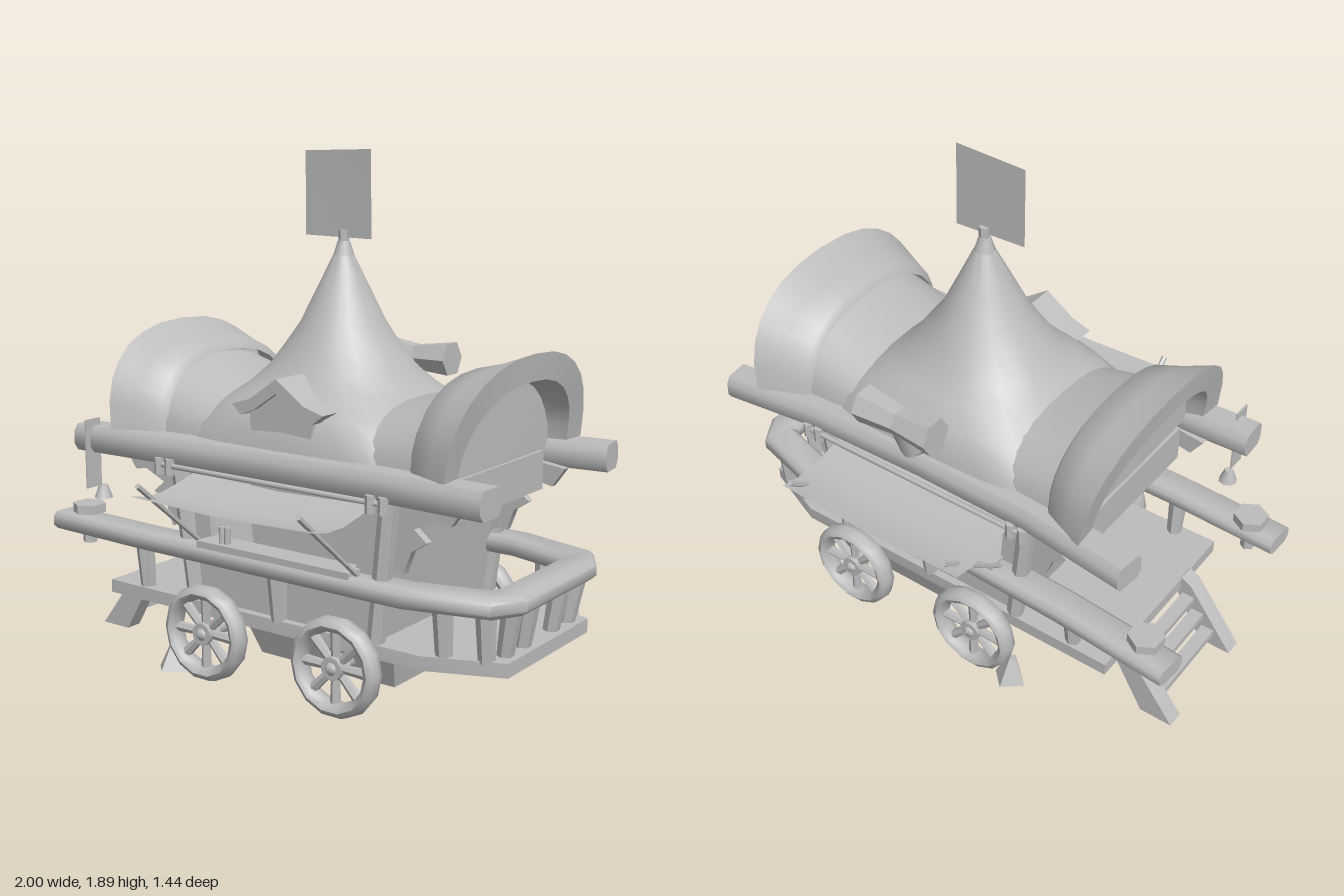
import * as THREE from 'three';
import { toCreasedNormals } from 'three/addons/utils/BufferGeometryUtils.js';

const V = (x, y, z) => new THREE.Vector3(x, y, z);
const outline = pts => pts.map(p => new THREE.Vector2(...p));
const CX = 0.08; // middle of the cabin

export function createModel() {
  const grey = new THREE.MeshStandardMaterial({ color: 0xbcbcbc, side: THREE.DoubleSide });
  grey.name = 'plain grey';
  const model = new THREE.Group();
  model.name = 'wagon';

  const add = (name, geo, parent = model) => {
    const m = new THREE.Mesh(toCreasedNormals(geo, 0.9), grey);
    m.name = name;
    parent.add(m);
  };
  const box = (name, x0, x1, y0, y1, z0, z1, parent) => add(name,
    new THREE.BoxGeometry(x1 - x0, y1 - y0, z1 - z0).translate((x0 + x1) / 2, (y0 + y1) / 2, (z0 + z1) / 2), parent);
  const slab = (name, shape, depth, z) => add(name,
    new THREE.ExtrudeGeometry(shape, { depth, bevelEnabled: false }).translate(0, 0, z));
  // tapered rod from a to b
  const rod = (name, a, b, ra, rb = ra, n = 8, parent = model) => {
    const d = b.clone().sub(a);
    const g = new THREE.CylinderGeometry(rb, ra, d.length(), n);
    g.applyQuaternion(new THREE.Quaternion().setFromUnitVectors(V(0, 1, 0), d.normalize()));
    const c = a.clone().add(b).multiplyScalar(0.5);
    add(name, g.translate(c.x, c.y, c.z), parent);
  };
  // skin over cross-sections with equal point counts
  const loft = (rows, ring, caps) => {
    const n = rows[0].length, pos = [], idx = [];
    rows.forEach(r => r.forEach(p => pos.push(p.x, p.y, p.z)));
    for (let i = 0; i < rows.length - 1; i++)
      for (let j = 0; j < (ring ? n : n - 1); j++) {
        const a = i * n + j, b = i * n + (j + 1) % n;
        idx.push(a, b, a + n, b, b + n, a + n);
      }
    if (caps) for (const [s, flip] of [[0, 1], [(rows.length - 1) * n, 0]])
      for (let j = 1; j < n - 1; j++) idx.push(s, s + j + flip, s + j + 1 - flip);
    const g = new THREE.BufferGeometry();
    g.setAttribute('position', new THREE.Float32BufferAttribute(pos, 3));
    g.setIndex(idx);
    g.computeVertexNormals();
    return g;
  };
  // chamfered beam swept along a level path of [x, z] points
  const beam = (name, path, y, w, h) => {
    const sec = [[-1, -.5], [-1, .5], [-.7, 1], [.7, 1], [1, .5], [1, -.5], [.7, -1], [-.7, -1]];
    const rows = path.map(([x, z], i) => {
      const p = path[Math.max(i - 1, 0)], q = path[Math.min(i + 1, path.length - 1)];
      const l = Math.hypot(q[0] - p[0], q[1] - p[1]);
      const nx = (q[1] - p[1]) / l, nz = -(q[0] - p[0]) / l;
      return sec.map(([u, v]) => V(x + nx * u * w / 2, y + v * h / 2, z + nz * u * w / 2));
    });
    add(name, loft(rows, true, true));
  };

  // deck with chamfered front corners
  const deckShape = new THREE.Shape(outline([[-.72, -.39], [.68, -.39], [.95, -.28], [.95, .28], [.68, .39], [-.72, .39]]));
  add('deck', new THREE.ExtrudeGeometry(deckShape, { depth: .05, bevelEnabled: false }).rotateX(Math.PI / 2).translate(0, .267, 0));
  // open tapered frame below the deck
  const frame = [[.22, -.04, .58, .39], [.12, -.01, .56, .355], [.12, .07, .48, .28], [.22, .07, .48, .28]];
  add('underFrame', loft(frame.map(([y, a, b, z]) => [V(a, y, z), V(b, y, z), V(b, y, -z), V(a, y, -z)]), true));

  // handrail, open at the steps, with posts
  beam('handrail', [[-1, .35], [-.55, .37], [0, .375], [.62, .375], [.9, .3], [.93, .24], [.93, -.24], [.9, -.3],
    [.62, -.375], [0, -.375], [-.55, -.395], [-1, -.43]], .46, .13, .07);
  for (const s of [-1, 1]) {
    for (const [x, z] of [[-.56, .355], [.08, .37], [.74, .335], [.875, .29]])
      rod('railPost', V(x, .26, z * s), V(x, .44, z * s * 1.04), .029, .036, 6);
    for (const z of [.1, .215]) rod('railPost', V(.9, .26, z * s), V(.93, .44, z * s * 1.05), .029, .036, 6);
    // hexagonal lamp plates on the shafts
    const z = s > 0 ? .34 : -.4;
    rod('lampPlate', V(-.88, .5, z), V(-.88, .535, z), .065, .065, 6);
    rod('lampBolt', V(-.88, .38, z), V(-.88, .53, z), .028, .028, 6);
    // prop feet
    rod('propFoot', V(-.35, .01, s * .455), V(-.35, .11, s * .44), .065, .02, 4);
  }

  // wheels and axles
  for (const x of [-.185, .39]) {
    rod('axle', V(x, .185, -.45), V(x, .185, .45), .025);
    for (const s of [-1, 1]) {
      const w = new THREE.Group();
      w.name = 'wheel';
      w.position.set(x, .185, s * .458);
      add('rim', new THREE.TorusGeometry(.152, .027, 8, 14).scale(1, 1, 1.45), w);
      for (let i = 0; i < 8; i++) {
        const a = i * Math.PI / 4;
        rod('spoke', V(0, 0, 0), V(Math.cos(a) * .145, Math.sin(a) * .145, 0), .014, .02, 6, w);
      }
      rod('hub', V(0, 0, -.028), V(0, 0, .028), .042, .042, 10, w);
      add('hubCap', new THREE.SphereGeometry(.025, 10, 6).translate(0, 0, s * .018), w);
      model.add(w);
    }
  }

  // steps at the rear
  const stepShape = new THREE.Shape(outline([[-.95, 0], [-.82, 0], [-.68, .24], [-.72, .27], [-.76, .25]]));
  for (const z of [.175, -.255]) slab('stepSide', stepShape, .065, z - .0325);
  for (const [x, y] of [[-.85, .065], [-.8, .125], [-.755, .185]])
    box('stepTread', x - .026, x + .026, y - .013, y + .013, -.25, .17);

  // cabin walls with wide hatch openings
  const wall = new THREE.Shape(outline([[-.31, .26], [.48, .26], [.57, .86], [-.4, .86]]));
  wall.holes.push(new THREE.Path(outline([[-.24, .5], [.4, .5], [.46, .76], [-.26, .76]])));
  for (const s of [-1, 1]) {
    slab('sideWall', wall, .03, s * .345 - .015);
    box('counter', -.25, .42, .485, .51, s > 0 ? .33 : -.43, s > 0 ? .43 : -.33);
    // corner posts, hanging rod and its brackets
    for (const [x, t] of [[-.31, -.375], [.49, .55]]) {
      rod('cornerPost', V(x, .27, s * .365), V(t, .8, s * .375), .032, .036, 6);
      for (const d of [-.025, .025]) rod('rodBracket', V(t + d, .74, s * .455), V(t + d, .8, s * .455), .018, .018, 6);
    }
    rod('awningRod', V(-.4, .775, s * .455), V(.57, .775, s * .455), .01);
    // sagging awning with struts
    const prof = [[.37, .74], [.45, .72], [.54, .703], [.63, .703], [.705, .72]];
    add('awning', loft(prof.map(([z, y]) => [V(-.31, y, s * z), V(.085, y - .012, s * z), V(.48, y, s * z)])));
    for (const x of [-.26, .43]) rod('awningStrut', V(x, .49, s * .385), V(x, .765, s * .715), .009, .011, 6);
    // end walls, and scalloped brackets below the eaves
    const [x0, x1] = s > 0 ? [.49, .57] : [-.31, -.4];
    add('endWall', loft([[V(x0, .26, -.345), V(x0, .26, .345)], [V(x1, .88, -.345), V(x1, .88, .345)]]));
    const bracket = new THREE.Shape(outline([[.45, .5], [.5, .53], [.53, .52], [.56, .6], [.62, .64], [.57, .68], [.66, .72],
      [.71, .71], [.76, .78], [.45, .82]].map(([x, y]) => [CX + s * (x - .02), y])));
    for (const z of [-.34, .34]) slab('eaveBracket', bracket, .03, z - .015);
  }
  box('innerWall', -.34, .5, .27, .86, -.01, .01);
  for (const x of [-.155, -.13]) rod('cup', V(x, .51, .4), V(x, .57, .4), .011);

  // eave beams
  for (const [s, z] of [[1, .405], [-1, -.44]])
    beam('eaveBeam', [[-.82, z], [-.4, s * .39], [.08, s * .38], [.55, s * .39], [.945, z]], .823, .125, .1);

  // roof: square tent sweeping up to a spire
  const roof = new THREE.Group();
  roof.name = 'roof';
  roof.position.z = -.012;
  model.add(roof);
  const pw = (v, e) => Math.sign(v) * Math.abs(v) ** e;
  const tent = [[.84, .54, .4, .45], [.92, .49, .39, .5], [1, .40, .355, .6], [1.06, .325, .3, .75], [1.12, .27, .25, .9],
    [1.2, .215, .205, 1], [1.28, .155, .16, 1], [1.4, .096, .1, 1], [1.52, .038, .038, 1]];
  add('spireRoof', loft(tent.map(([y, a, b, e]) => Array.from({ length: 24 }, (_, i) => {
    const t = -i * Math.PI / 12;
    return V(CX + a * pw(Math.cos(t), e), y, b * pw(Math.sin(t), e));
  })), true), roof);
  rod('spireCap', V(CX, 1.515, 0), V(CX, 1.57, 0), .04, .022, 8, roof);
  rod('flagPole', V(CX, 1.56, 0), V(CX, 1.61, 0), .02, .02, 6, roof);
  add('flag', loft([[V(-.085, 1.585, .005), V(.2, 1.58, 0)], [V(-.09, 1.885, 0), V(.198, 1.892, .005)]]), roof);

  // arch section: distance from the middle, half width, top, bottom, forward lean of the crown
  const arch = (s, [d, w, top, bot, lean]) => Array.from({ length: 15 }, (_, i) => {
    const t = i * Math.PI / 14, k = Math.max(0, Math.sin(t));
    return V(CX + s * (d + lean * k), bot + (top - bot) * pw(k, .85), s * w * pw(Math.cos(t), .85));
  });
  for (const s of [-1, 1]) {
    add('barrelRoof', loft([[.24, .355, 1.03, .84, 0], [.4, .365, 1.06, .84, 0], [.58, .375, 1.12, .84, 0]].map(a => arch(s, a))), roof);
    // flared hood with a thick lip and recessed end panel
    add('hood', loft([[.53, .365, 1.13, .86, .01], [.55, .39, 1.165, .86, .01], [.64, .43, 1.19, .865, .02], [.72, .465, 1.235, .875, .06],
      [.71, .37, 1.14, .86, .06], [.64, .36, 1.13, .84, .01]].map(a => arch(s, a))), roof);
    const x = CX + s * .65;
    add('hoodPanel', loft([arch(s, [.645, .365, 1.14, .84, 0]), Array(15).fill(V(x, .84, 0))]), roof);
    box('hoodValance', x - .01, x + .01, .7, .84, -.3, .3, roof);
  }

  // dormer with upturned gable
  slab('dormer', new THREE.Shape(outline([[-.035, .87], [.215, .87], [.23, 1.03], [.09, 1.09], [-.05, 1.03]])), .2, .17);
  slab('dormerRoof', new THREE.Shape(outline([[-.11, 1.02], [-.03, 1.045], [.085, 1.125], [.2, 1.045], [.285, 1.02],
    [.24, .985], [.19, 1.01], [.085, 1.075], [-.01, 1.01], [-.07, .985]])), .2, .19);

  // chimney elbow at the back
  rod('chimneyStem', V(.07, .9, -.34), V(.07, .95, -.47), .04, .042);
  rod('chimneyBend', V(.07, .93, -.46), V(.07, 1.08, -.51), .04, .045);
  for (const x of [-.085, .23]) rod('chimneyPipe', V(.07, 1.09, -.515), V(x, 1.095, -.515), .052, .07, 6);

  // hanging sign and bell at the rear eave
  box('hangingSign', -.744, -.738, .64, .9, .41, .485);
  rod('bell', V(-.74, .59, .4), V(-.74, .64, .4), .035, .016, 8);

  return model;
}
